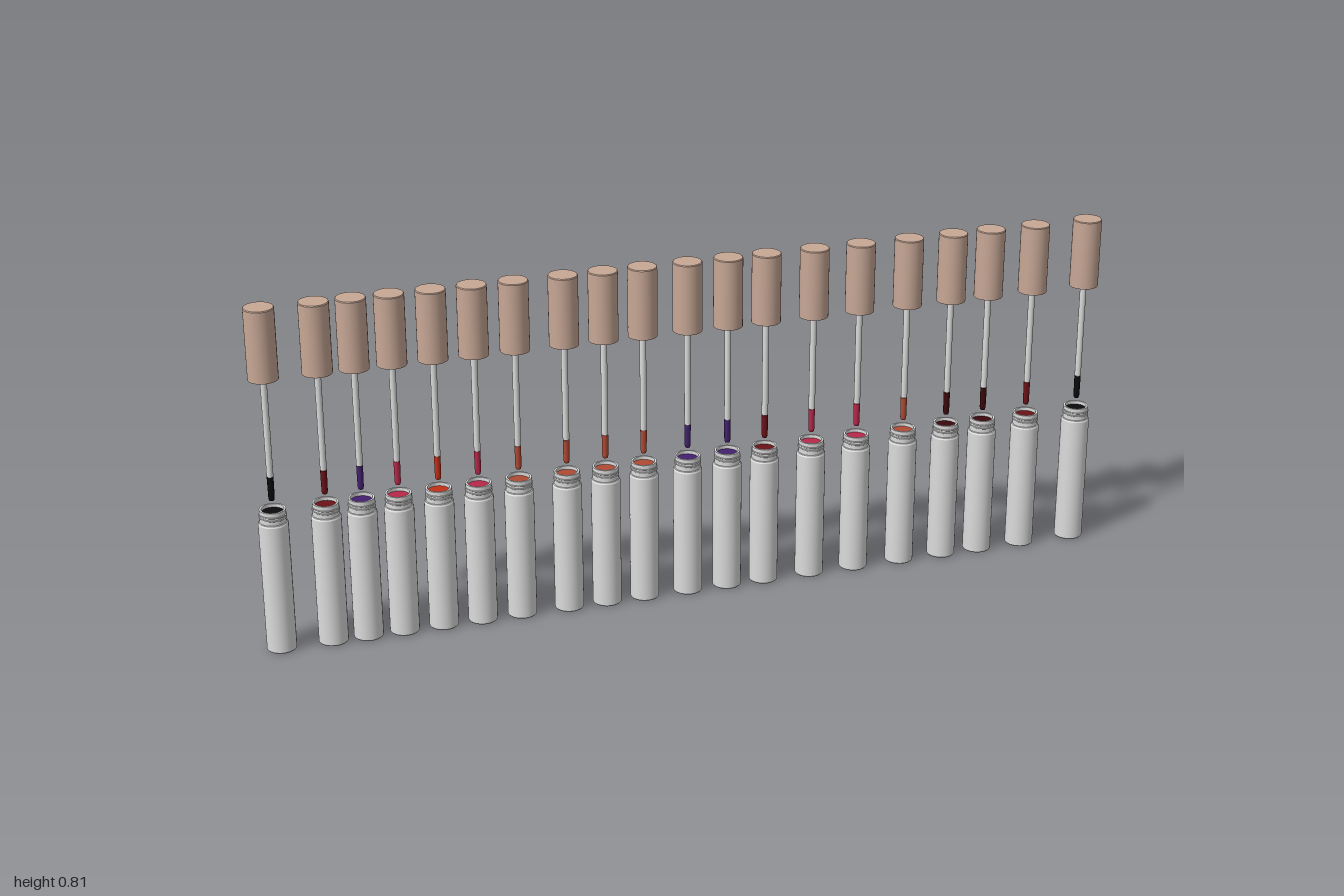
import * as THREE from 'three';

const mat = (name, color, side = THREE.FrontSide) => {
  const m = new THREE.MeshStandardMaterial({ color, side });
  m.name = name;
  return m;
};

// Lathe from [radius, height] points; doubled corners keep the edges crisp
function lathe(points, segments = 32) {
  const pts = [];
  points.forEach(([r, y], i) => {
    const p = new THREE.Vector2(r, y);
    pts.push(p);
    if (i > 0 && i < points.length - 1) pts.push(p.clone());
  });
  // Build each straight run separately so normals do not blend over corners
  const pos = [], nor = [], idx = [];
  for (let k = 0; k < pts.length; k += 2) {
    const a = pts[k], b = pts[k + 1];
    const len = a.distanceTo(b), nr = (b.y - a.y) / len, ny = -(b.x - a.x) / len;
    const base = pos.length / 3;
    for (let s = 0; s <= segments; s++) {
      const t = (s / segments) * Math.PI * 2, c = Math.cos(t), d = Math.sin(t);
      pos.push(a.x * c, a.y, a.x * d, b.x * c, b.y, b.x * d);
      nor.push(nr * c, ny, nr * d, nr * c, ny, nr * d);
      if (s < segments) {
        const i = base + s * 2;
        idx.push(i, i + 1, i + 2, i + 1, i + 3, i + 2);
      }
    }
  }
  const g = new THREE.BufferGeometry();
  g.setAttribute('position', new THREE.Float32BufferAttribute(pos, 3));
  g.setAttribute('normal', new THREE.Float32BufferAttribute(nor, 3));
  g.setIndex(idx);
  return g;
}

export function createModel() {
  const model = new THREE.Group();
  model.name = 'lipGlossRow';

  const capMat = mat('cap beige', 0xc8a896);
  const bottleMat = mat('bottle grey', 0xdcdcdc);
  const shades = {
    black: mat('gloss black', 0x0c0a0c),
    maroon: mat('gloss maroon', 0x3a080c),
    wine: mat('gloss wine', 0x6a1218),
    purple: mat('gloss purple', 0x43206e),
    crimson: mat('gloss crimson', 0xb8284a),
    red: mat('gloss red', 0xc43018),
    rust: mat('gloss rust', 0xb04a34),
  };

  // Bottle: closed base, straight body, stepped neck and an open rim
  const bottleGeo = lathe([
    [0, 0], [0.032, 0], [0.0335, 0.002], [0.0335, 0.308], [0.0315, 0.312],
    [0.0295, 0.313], [0.0295, 0.342], [0.025, 0.342], [0.025, 0.328],
  ]);
  // Cap: hollow sleeve with a closed top
  const capGeo = lathe([
    [0, 0.8], [0.031, 0.8], [0.031, 0.648], [0.0335, 0.648],
    [0.0335, 0.81], [0.032, 0.812], [0, 0.812],
  ]);
  const wandGeo = lathe([[0.005, 0.416], [0.0075, 0.42], [0.0075, 0.8]], 16);
  const brushGeo = lathe([
    [0, 0.362], [0.0055, 0.362], [0.007, 0.368], [0.0075, 0.418], [0, 0.418],
  ], 16);
  const liquidGeo = new THREE.CircleGeometry(0.0255, 32).rotateX(-Math.PI / 2);

  // Screw thread: one and a half shallow turns around the neck
  const turns = Array.from({ length: 37 }, (_, i) => {
    const t = (i / 24) * Math.PI * 2;
    return new THREE.Vector3(Math.cos(t) * 0.0295, 0.322 + i * 0.0003, Math.sin(t) * 0.0295);
  });
  const threadGeo = new THREE.TubeGeometry(new THREE.CatmullRomCurve3(turns), 48, 0.0017, 6);

  const row = [
    [-0.967, 'black'], [-0.85, 'wine'], [-0.77, 'purple'], [-0.687, 'crimson'],
    [-0.596, 'red'], [-0.505, 'crimson'], [-0.412, 'rust'], [-0.3, 'rust'],
    [-0.209, 'rust'], [-0.118, 'rust'], [-0.013, 'purple'], [0.083, 'purple'],
    [0.174, 'wine'], [0.289, 'crimson'], [0.401, 'crimson'], [0.519, 'rust'],
    [0.628, 'maroon'], [0.722, 'maroon'], [0.834, 'wine'], [0.9665, 'black'],
  ];

  for (const [x, shade] of row) {
    const tube = new THREE.Group();
    tube.name = 'glossTube';
    tube.position.x = x;
    const add = (name, geo, material) => {
      const mesh = new THREE.Mesh(geo, material);
      mesh.name = name;
      tube.add(mesh);
      return mesh;
    };
    add('bottle', bottleGeo, bottleMat);
    add('neckThread', threadGeo, bottleMat);
    add('liquid', liquidGeo, shades[shade]).position.y = 0.334;
    add('cap', capGeo, capMat);
    add('wand', wandGeo, bottleMat);
    add('brush', brushGeo, shades[shade]);
    model.add(tube);
  }
  return model;
}
